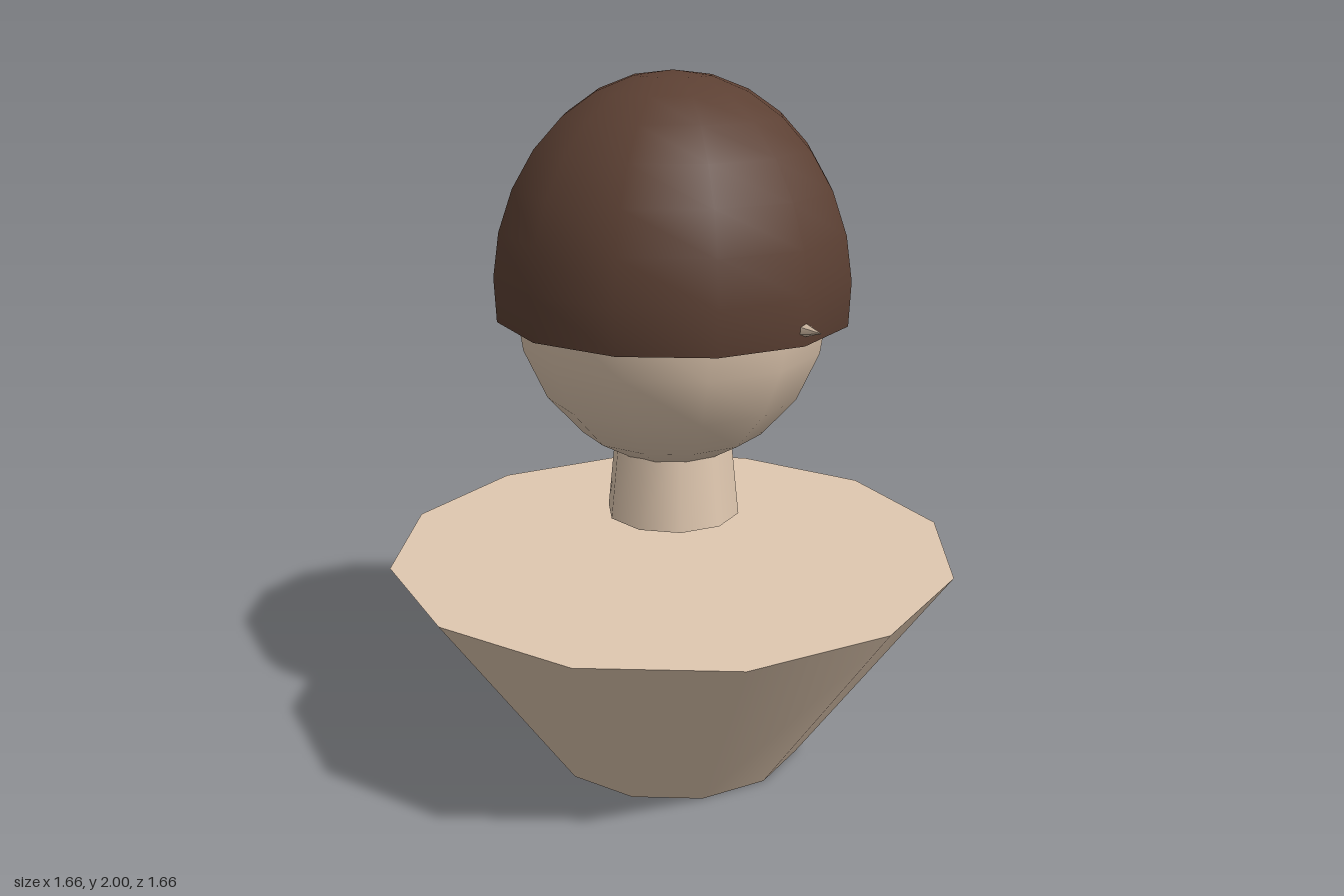
import * as THREE from 'three';

export function createModel() {
  const model = new THREE.Group();
  const skin = new THREE.MeshStandardMaterial({ name: 'skin', color: 0xe0c8b0 });
  const hairBrown = new THREE.MeshStandardMaterial({ name: 'hairBrown', color: 0x5c4033, side: THREE.DoubleSide });

  const add = (name, geometry, material, y, z = 0) => {
    const mesh = new THREE.Mesh(geometry, material);
    mesh.name = name;
    mesh.position.set(0, y, z);
    model.add(mesh);
    return mesh;
  };

  // Flared torso, standing on its narrow end
  add('torso', new THREE.CylinderGeometry(0.828, 0.39, 0.625, 12), skin, 0.3125);

  // Neck, floating above the torso and running up into the head
  add('neck', new THREE.CylinderGeometry(0.17, 0.195, 0.24, 10), skin, 0.86);

  // Egg-shaped head
  add('head', new THREE.SphereGeometry(1, 12, 10), skin, 1.4).scale.set(0.45, 0.5, 0.445);

  // Open hair cap reaching just below its widest ring
  const cap = new THREE.SphereGeometry(1, 12, 8, 0, Math.PI * 2, 0, Math.PI * 0.55);
  add('hair', cap, hairBrown, 1.42).scale.set(0.5, 0.58, 0.51);

  // Pointed nose, its tip poking through the hair
  const nose = new THREE.ConeGeometry(0.045, 0.14, 6);
  nose.rotateX(Math.PI / 2);
  add('nose', nose, skin, 1.373, 0.49);

  return model;
}
